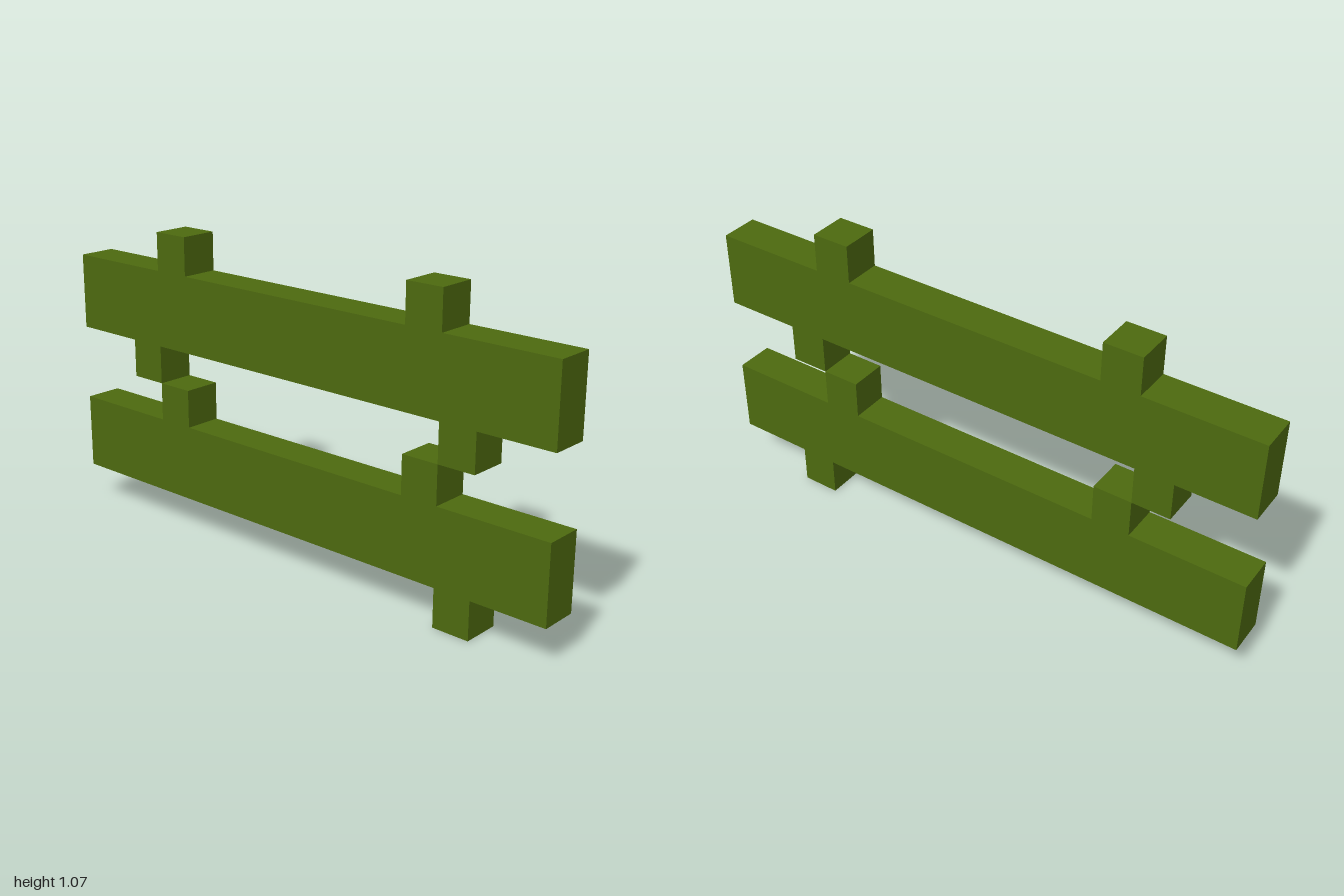
import * as THREE from 'three';

const U = 1 / 15; // grid unit: rails are 30 x 4 x 2, pegs 2 x 2 x 2

// Outline of a rail with square pegs; peg lists give left edges in units
function makeRail(name, bottom, topPegs, bottomPegs, material) {
  const points = [[-15, 0]];
  for (const x of bottomPegs) points.push([x, 0], [x, -2], [x + 2, -2], [x + 2, 0]);
  points.push([15, 0], [15, 4]);
  for (const x of [...topPegs].reverse()) points.push([x + 2, 4], [x + 2, 6], [x, 6], [x, 4]);
  points.push([-15, 4]);

  const shape = new THREE.Shape(points.map(([x, y]) => new THREE.Vector2(x * U, (y + bottom) * U)));
  const geometry = new THREE.ExtrudeGeometry(shape, { depth: 2 * U, bevelEnabled: false });
  geometry.translate(0, 0, -U);
  const mesh = new THREE.Mesh(geometry, material);
  mesh.name = name;
  return mesh;
}

export function createModel() {
  const group = new THREE.Group();
  group.name = 'peggedRails';
  const green = new THREE.MeshStandardMaterial({ color: 0x4d6a0f });
  green.name = 'olive green';

  // Both rails carry two top pegs; the lower one has a single foot on its left
  group.add(makeRail('upperRail', 10, [-9, 7], [-11, 9], green));
  group.add(makeRail('lowerRail', 2, [-9, 7], [9], green));
  return group;
}
